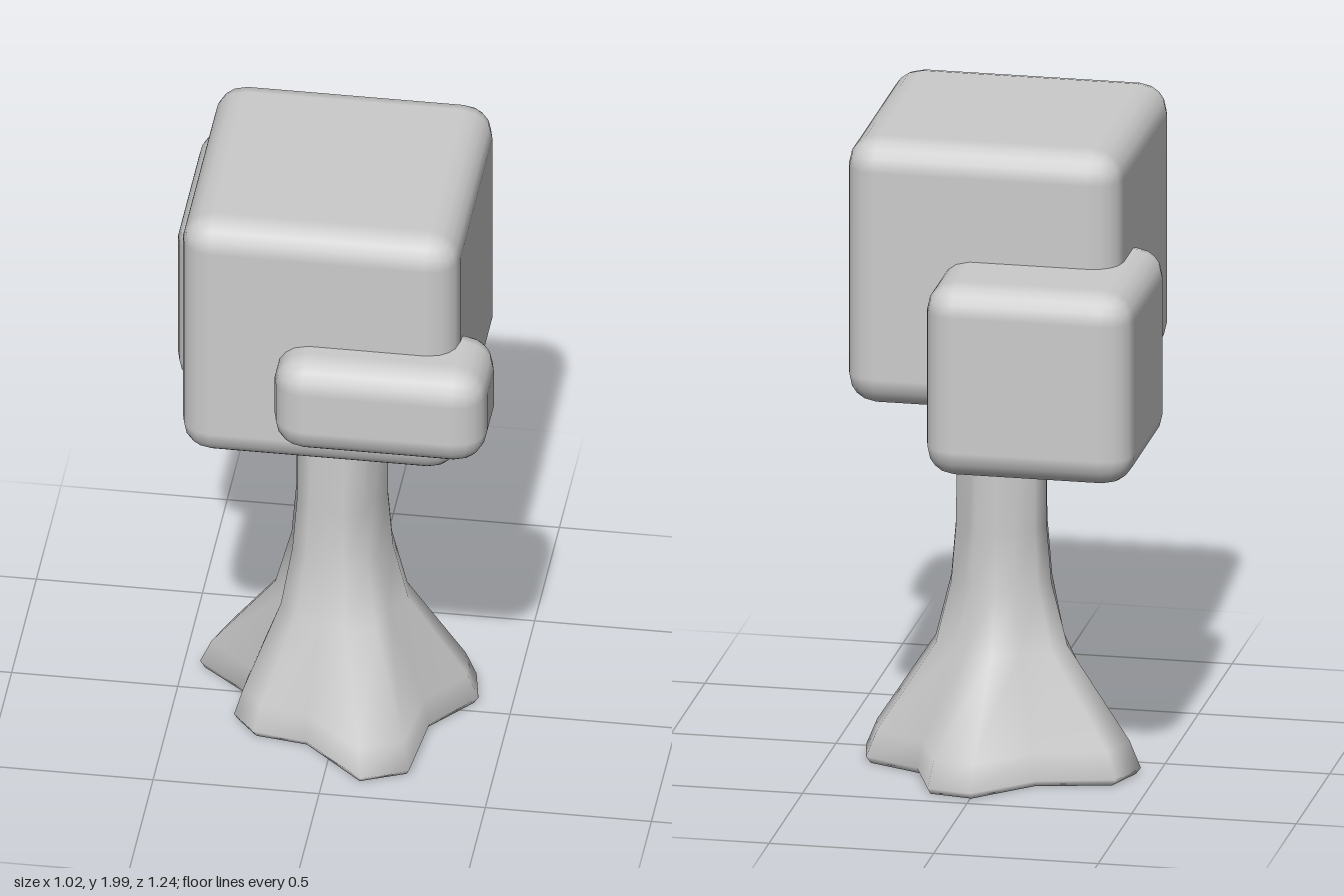
import * as THREE from 'three';
import { RoundedBoxGeometry } from 'three/addons/geometries/RoundedBoxGeometry.js';

const material = new THREE.MeshStandardMaterial({ color: 0xcccccc });

// Rounded foliage block given by its minimum and maximum corners
function block(name, min, max, radius) {
  const size = max.map((v, i) => v - min[i]);
  const mesh = new THREE.Mesh(new RoundedBoxGeometry(...size, 2, radius), material);
  mesh.position.set(...max.map((v, i) => (v + min[i]) / 2));
  mesh.name = name;
  return mesh;
}

// Trunk: five-lobed rings that flare into roots, with a hollowed underside
function trunkGeometry() {
  const lobes = [ // angle from +x towards +z (degrees), relative root reach
    [-80, 1], [-11, 0.94], [66, 1.1], [140, 0.8], [200, 1.03],
  ];
  const rows = [ // height, tip radius, valley radius, root influence
    [0.12, 0.005, 0.005, 0],
    [0.07, 0.24, 0.2, 0.6],
    [0.01, 0.42, 0.3, 1],
    [0.03, 0.435, 0.315, 1],
    [0.11, 0.4, 0.295, 1],
    [0.38, 0.205, 0.172, 0.3],
    [0.57, 0.155, 0.132, 0],
    [0.75, 0.14, 0.118, 0],
    [1.35, 0.136, 0.114, 0],
  ];
  const positions = [], index = [], n = lobes.length * 3;
  for (const [y, tip, valley, influence] of rows) {
    lobes.forEach(([angle, reach], k) => {
      const next = lobes[(k + 1) % lobes.length];
      const nextAngle = next[0] + (k === lobes.length - 1 ? 360 : 0);
      const scale = 1 + (reach - 1) * influence;
      const nextScale = 1 + (next[1] - 1) * influence;
      const spread = 14 - 5 * influence;
      const points = [
        [angle - spread, tip * scale],
        [angle + spread, tip * scale],
        [(angle + nextAngle) / 2, valley * (scale + nextScale) / 2],
      ];
      for (const [deg, r] of points) {
        const a = THREE.MathUtils.degToRad(deg);
        positions.push(-0.01 + r * Math.cos(a), y, -0.03 + r * Math.sin(a));
      }
    });
  }
  for (let j = 0; j < rows.length - 1; j++) {
    for (let i = 0; i < n; i++) {
      const a = j * n + i, b = j * n + (i + 1) % n;
      index.push(a, a + n, b, b, a + n, b + n);
    }
  }
  const geometry = new THREE.BufferGeometry();
  geometry.setAttribute('position', new THREE.Float32BufferAttribute(positions, 3));
  geometry.setIndex(index);
  geometry.computeVertexNormals();
  return geometry;
}

export function createModel() {
  const tree = new THREE.Group();
  tree.name = 'blockTree';
  const trunk = new THREE.Mesh(trunkGeometry(), material);
  trunk.name = 'trunk';
  tree.add(
    trunk,
    block('mainFoliage', [-0.425, 1.17, -0.34], [0.41, 2, 0.49], 0.092),
    block('backFoliage', [-0.515, 1.05, -0.62], [0.115, 1.65, -0.02], 0.09),
    block('frontFoliage', [-0.13, 1.29, 0.3], [0.51, 1.61, 0.62], 0.095),
  );
  return tree;
}
